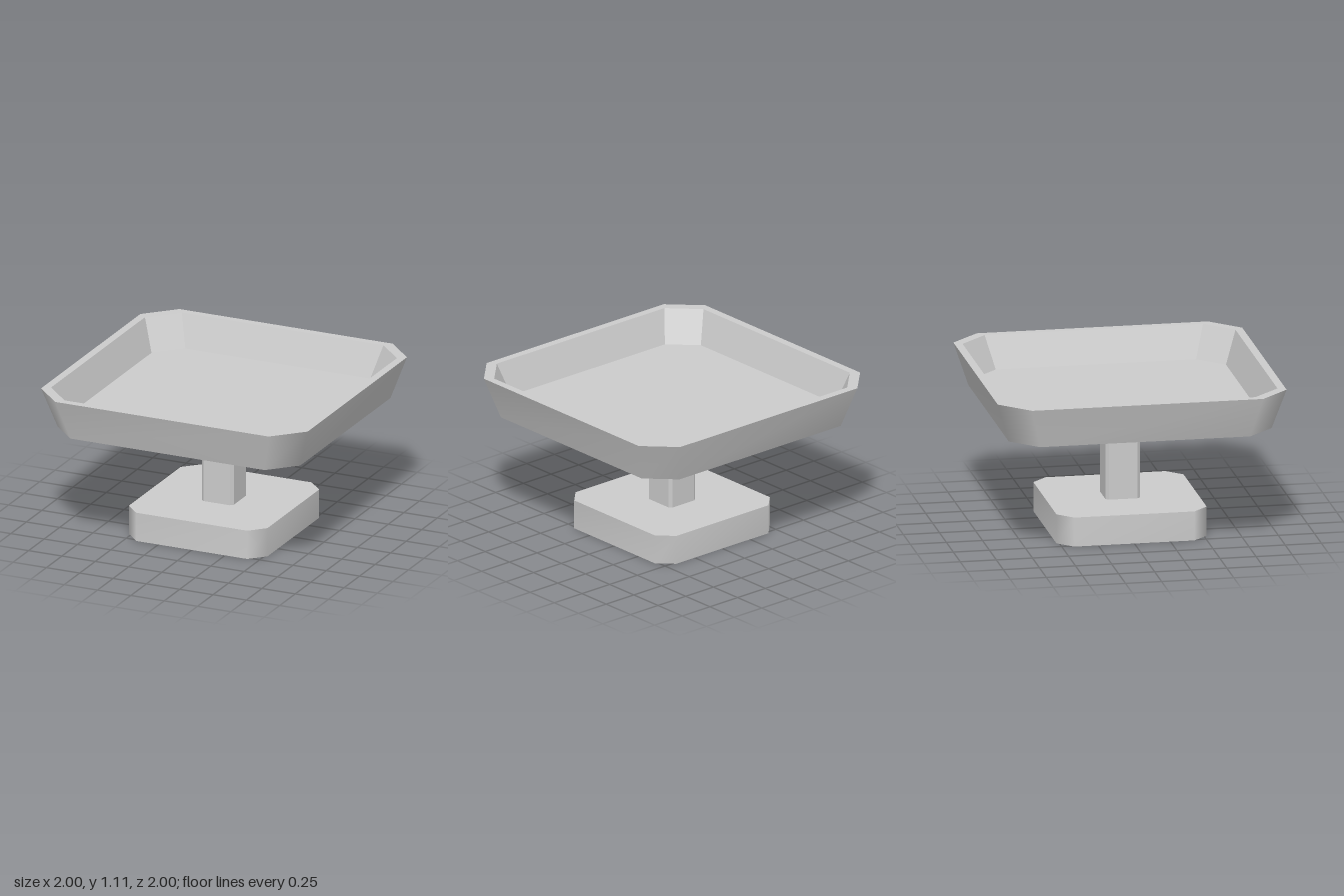
import * as THREE from 'three';

const material = new THREE.MeshStandardMaterial({ color: 0xcccccc, side: THREE.DoubleSide });

// Square outline with cut corners, counter-clockwise from above; cut = corner start as a share of half
function outline(half, y, cut) {
  const c = half * cut;
  return [[half, c], [c, half], [-c, half], [-half, c], [-half, -c], [-c, -half], [c, -half], [half, -c]]
    .flatMap(([x, z]) => [x, y, -z]);
}

// Strip of faces between two outlines [half, y]; a half of 0 closes to the centre
function band(from, to, cut, smooth) {
  const index = [];
  for (let i = 0; i < 8; i++) {
    const j = (i + 1) % 8;
    if (from[0] > 0) index.push(i, j, j + 8);
    if (to[0] > 0) index.push(i, j + 8, i + 8);
  }
  let geometry = new THREE.BufferGeometry();
  geometry.setAttribute('position', new THREE.Float32BufferAttribute(
    [...outline(...from, cut), ...outline(...to, cut)], 3));
  geometry.setIndex(index);
  if (!smooth) geometry = geometry.toNonIndexed();
  geometry.computeVertexNormals();
  return new THREE.Mesh(geometry, material);
}

// Part made of named bands: [name, from, to, smooth]
function part(name, cut, bands) {
  const group = new THREE.Group();
  group.name = name;
  for (const [label, from, to, smooth] of bands) {
    const mesh = band(from, to, cut, smooth);
    mesh.name = label;
    group.add(mesh);
  }
  return group;
}

export function createModel() {
  const model = new THREE.Group();
  model.name = 'pedestalTray';

  // Flared tray with a sunken floor
  model.add(part('tray', 0.8, [
    ['trayUnderside', [0, 0.825], [0.91, 0.825], false],
    ['trayOuterWall', [0.91, 0.825], [1, 1.11], true],
    ['trayRim', [1, 1.11], [0.945, 1.11], false],
    ['trayInnerWall', [0.945, 1.11], [0.867, 0.885], false],
    ['trayFloor', [0.867, 0.885], [0, 0.885], false],
  ]));

  // Hollow post, reaching slightly through the base top
  model.add(part('post', 0.83, [
    ['postWall', [0.12, 0.17], [0.12, 0.83], false],
  ]));

  // Foot, open underneath
  model.add(part('base', 0.8, [
    ['baseWall', [0.52, 0], [0.52, 0.205], true],
    ['baseTop', [0.52, 0.205], [0, 0.205], false],
  ]));

  return model;
}
